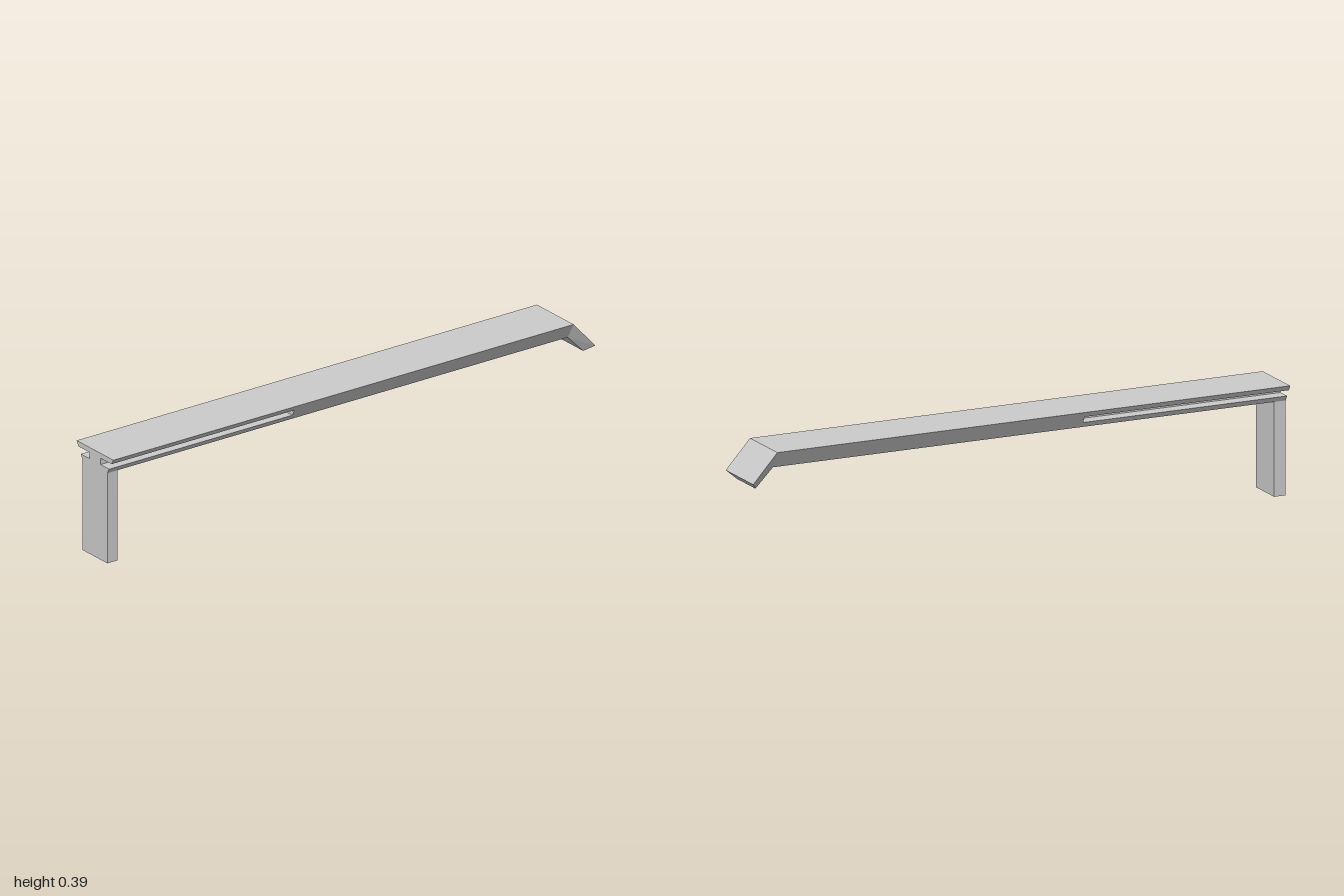
import * as THREE from 'three';

const TOP = 0.387, BOTTOM = 0.328;        // heights of the beam's faces
const WIDE = 0.103, NARROW = 0.069;       // half widths at top and bottom
const FRONT = 1, SLOT_END = 0.24, BEND = -0.91;
const SLOT_TOP = 0.369, SLOT_BOTTOM = 0.346, SLOT_IN = 0.031;

// Half width of the tapered section at height y
const halfWidth = (y) => NARROW + (WIDE - NARROW) * (y - BOTTOM) / (TOP - BOTTOM);

// Mirror a right-hand outline (listed bottom to top) into a closed section
function section(half) {
  const left = half.map(([x, y]) => [-x, y]).reverse();
  return new THREE.Shape([...half, ...left].map(([x, y]) => new THREE.Vector2(x, y)));
}

export function createModel() {
  const group = new THREE.Group();
  const material = new THREE.MeshStandardMaterial({ color: 0xcccccc, flatShading: true });
  const add = (name, geometry) => {
    const mesh = new THREE.Mesh(geometry, material);
    mesh.name = name;
    group.add(mesh);
    return mesh;
  };

  // Front length of the beam, with a groove open to each side
  const slotted = section([
    [NARROW, BOTTOM],
    [halfWidth(SLOT_BOTTOM), SLOT_BOTTOM],
    [SLOT_IN, SLOT_BOTTOM],
    [SLOT_IN, SLOT_TOP],
    [halfWidth(SLOT_TOP), SLOT_TOP],
    [WIDE, TOP],
  ]);
  add('slottedBeam', new THREE.ExtrudeGeometry(slotted, {
    depth: FRONT - SLOT_END, bevelEnabled: false,
  })).position.z = SLOT_END;

  // Plain rear length; its last ring is bent down into a hook
  const plain = section([[NARROW, BOTTOM], [WIDE, TOP]]);
  const rear = new THREE.ExtrudeGeometry(plain, { depth: 1, steps: 2, bevelEnabled: false });
  const p = rear.attributes.position;
  for (let i = 0; i < p.count; i++) {
    const t = p.getZ(i);
    const isTop = p.getY(i) > (TOP + BOTTOM) / 2;
    if (t > 0.75) p.setZ(i, SLOT_END);
    else if (t > 0.25) p.setZ(i, BEND);
    else {
      p.setY(i, isTop ? 0.287 : 0.262);
      p.setZ(i, isTop ? -1 : -0.975);
    }
  }
  rear.computeVertexNormals();
  add('rearBeamWithHook', rear);

  // Upright leg flush with the front end
  const legDepth = 0.043;
  add('frontLeg', new THREE.BoxGeometry(NARROW * 2, BOTTOM, legDepth))
    .position.set(0, BOTTOM / 2, FRONT - legDepth / 2);

  return group;
}
